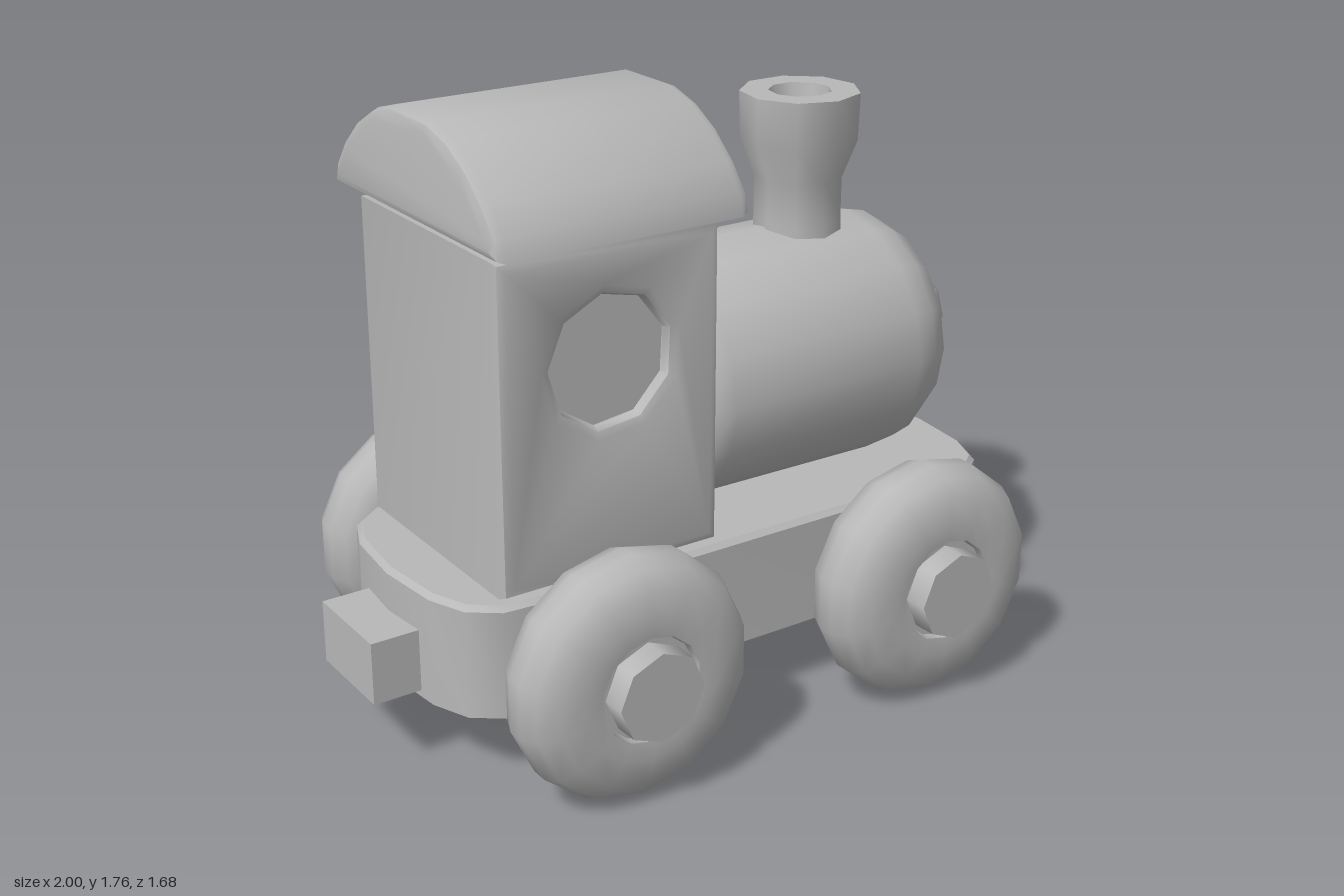
import * as THREE from 'three';
import { toCreasedNormals } from 'three/addons/utils/BufferGeometryUtils.js';

// The engine is laid out along +x, then turned slightly about y.
export function createModel() {
  const model = new THREE.Group();
  model.name = 'toyTrain';
  const train = new THREE.Group();
  train.name = 'train';
  train.rotation.y = -THREE.MathUtils.degToRad(15);
  train.position.set(0.005, 0, -0.02);
  model.add(train);

  const grey = new THREE.MeshStandardMaterial({ color: 0xb8b8b8 });
  grey.name = 'plain grey';

  const add = (name, geometry, crease = 0.85) => {
    const mesh = new THREE.Mesh(toCreasedNormals(geometry, crease), grey);
    mesh.name = name;
    train.add(mesh);
    return mesh;
  };
  const points = (list) => list.map(([x, y]) => new THREE.Vector2(x, y));

  // Extrusion with softened edges, centred on z, keeping the outline's full size
  const extrude = (shape, depth, bevel, segments = 2) =>
    new THREE.ExtrudeGeometry(shape, {
      depth: depth - 2 * bevel, bevelThickness: bevel, bevelSize: bevel,
      bevelOffset: -bevel, bevelSegments: segments, curveSegments: 8,
    }).translate(0, 0, bevel - depth / 2);

  // Chassis: bowed ends with cut corners
  const end = [[0.72, -0.38], [0.84, -0.37], [0.92, -0.31], [0.965, -0.2], [0.985, 0],
    [0.965, 0.2], [0.92, 0.31], [0.84, 0.37], [0.72, 0.38]];
  const rear = end.map(([x, z]) => [0.1 - x, -z]);
  const chassis = extrude(new THREE.Shape(points([...end, ...rear])), 0.34, 0.015, 1);
  add('chassis', chassis.rotateX(Math.PI / 2).translate(0, 0.38, 0), 0.7);

  // Rear coupling block
  add('coupling', new THREE.BoxGeometry(0.2, 0.18, 0.29).translate(-0.91, 0.335, 0), 0.5);

  // Cab with a round recessed window on each side
  const cabX = -0.4, windowY = 1.15;
  const cabShape = new THREE.Shape(points([[-0.735, 0.56], [-0.065, 0.56], [-0.065, 1.47], [-0.735, 1.47]]));
  const opening = [];
  for (let i = 0; i < 9; i++) {
    const a = -i / 9 * Math.PI * 2 + 0.3;
    opening.push([cabX + 0.18 * Math.cos(a), windowY + 0.18 * Math.sin(a)]);
  }
  cabShape.holes.push(new THREE.Path(points(opening)));
  add('cab', extrude(cabShape, 0.74, 0.03), 0.7);
  add('windowPanes', new THREE.CylinderGeometry(0.195, 0.195, 0.67, 9)
    .rotateX(Math.PI / 2).translate(cabX, windowY, 0), 0.85);

  // Arched roof
  const half = [[0.44, 1.49], [0.425, 1.55], [0.37, 1.62], [0.29, 1.69], [0.2, 1.74], [0.1, 1.768]];
  const arch = [...half, ...half.slice().reverse().map(([x, y]) => [-x, y])];
  add('roof', extrude(new THREE.Shape(points(arch)), 0.75, 0.03)
    .rotateY(Math.PI / 2).translate(-0.395, 0, 0), 0.7);

  // Boiler with rounded ends
  const boiler = [[0, -0.1], [0.28, -0.1], [0.34, -0.07], [0.362, 0], [0.365, 0.64],
    [0.35, 0.71], [0.31, 0.775], [0.25, 0.815], [0, 0.83]];
  add('boiler', new THREE.LatheGeometry(points(boiler), 16)
    .rotateZ(-Math.PI / 2).translate(0, 0.922, 0));

  // Headlamp on the nose
  const lamp = [[0.13, 0.79], [0.148, 0.85], [0.148, 0.9], [0.11, 0.945], [0, 0.962]];
  add('headlamp', new THREE.LatheGeometry(points(lamp), 9)
    .rotateZ(-Math.PI / 2).translate(0, 0.93, 0));

  // Flared chimney with a hollow top
  const chimney = [[0.13, 1.2], [0.126, 1.3], [0.126, 1.42], [0.168, 1.53], [0.172, 1.665],
    [0.09, 1.665], [0.07, 1.56], [0, 1.55]];
  add('chimney', new THREE.LatheGeometry(points(chimney), 9).translate(0.466, 0, 0));

  // Four chunky tyres, each with a hub cap
  const tyre = [[0, -0.115], [0.2, -0.115], [0.275, -0.105], [0.325, -0.075], [0.348, -0.02],
    [0.348, 0.03], [0.325, 0.08], [0.275, 0.11], [0.2, 0.125], [0.15, 0.12], [0.145, 0.1], [0, 0.1]];
  for (const [place, x] of [['front', 0.52], ['rear', -0.472]]) {
    for (const [hand, side] of [['Left', -1], ['Right', 1]]) {
      const turn = side > 0 ? Math.PI / 2 : -Math.PI / 2;
      const put = (mesh) => mesh.position.set(x, 0.36, side * 0.535);
      put(add(`${place}${hand}Wheel`, new THREE.LatheGeometry(points(tyre), 14).rotateX(turn)));
      put(add(`${place}${hand}Hub`, new THREE.CylinderGeometry(0.128, 0.132, 0.2, 8)
        .translate(0, 0.07, 0).rotateX(turn)));
    }
    // Axle joining the pair
    add(`${place}Axle`, new THREE.CylinderGeometry(0.1, 0.1, 0.9, 10)
      .rotateX(Math.PI / 2).translate(x, 0.36, 0));
  }
  return model;
}
